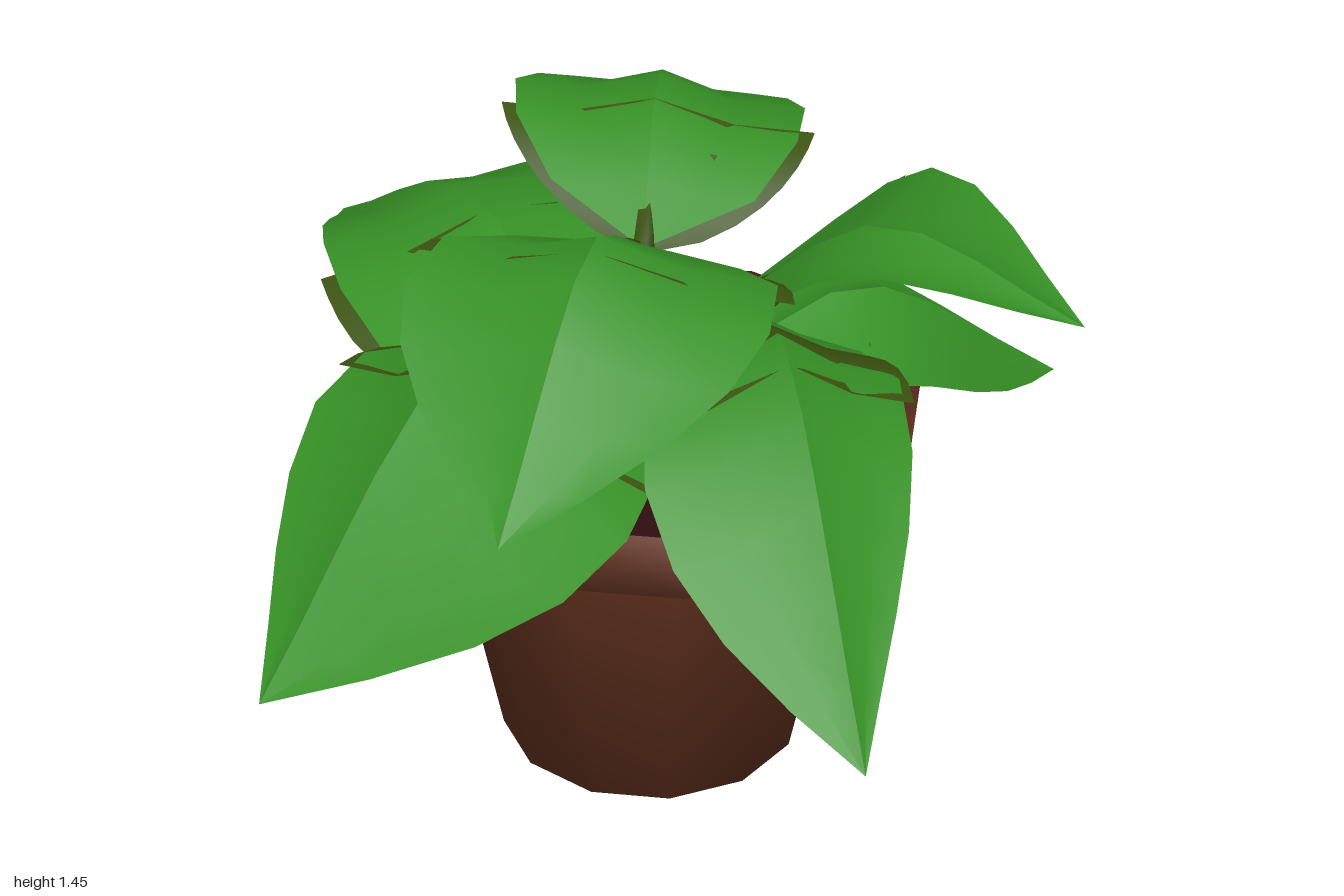
import * as THREE from 'three';

const POT_X = -0.01, POT_Z = -0.125, SIDES = 12;
const PHI = THREE.MathUtils.degToRad(19.5);

// Midrib through base, peak and tip; each half (seen looking outward) has
// its greatest width, where along the leaf that falls, and the margin's drop below the rib
const LEAVES = [
  { name: 'backLeaf', base: [-0.01, 1.24, -0.04], peak: [-0.05, 1.46, -0.34], tip: [-0.15, 1.165, -1],
    left: [0.31, 0.4, 0.02], right: [0.32, 0.38, 0.07] },
  { name: 'backRightLeaf', base: [-0.15, 1.0, 0.02], peak: [-0.45, 1.18, -0.32], tip: [-0.93, 0.81, -0.87],
    left: [0.38, 0.24, 0.07], right: [0.41, 0.5, 0.01] },
  { name: 'frontRightLeaf', base: [-0.15, 1.08, 0.1], peak: [-0.3, 1.19, 0.45], tip: [-0.56, 0.68, 0.95],
    left: [0.53, 0.42, 0.11], right: [0.29, 0.34, 0.1] },
  { name: 'frontLeaf', base: [-0.02, 1.28, 0.01], peak: [-0.04, 1.42, 0.3], tip: [-0.1, 1.03, 0.83],
    left: [0.4, 0.4, 0.05], right: [0.36, 0.42, 0.06] },
  { name: 'frontLeftLeaf', base: [0.24, 1.18, 0.1], peak: [0.37, 1.31, 0.4], tip: [0.65, 0.73, 0.99],
    left: [0.24, 0.3, 0.12], right: [0.31, 0.43, 0.13] },
  { name: 'leftLeaf', base: [0.17, 1.13, -0.06], peak: [0.5, 1.38, 0.01], tip: [0.93, 1.26, 0.13],
    left: [0.38, 0.3, 0.03], right: [0.24, 0.32, 0.02] },
  { name: 'backLeftLeaf', base: [0.15, 0.92, -0.2], peak: [0.4, 1.02, -0.38], tip: [0.81, 0.72, -0.63],
    left: [0.23, 0.42, 0.05], right: [0.28, 0.42, 0.1] },
];

const toCurve = (points) => new THREE.CatmullRomCurve3(points.map((p) => new THREE.Vector3(...p)));

// Rounded at the base, widest at the given place, pointed at the tip
const outline = (t, widest) => Math.sin(Math.PI * t ** (Math.log(0.5) / Math.log(widest)));

// Blade lofted over two halves that meet in a sharp midrib; reach is how far
// it runs to the tip, spread scales its width and sink lowers it
function leafGeometry({ base, peak, tip, left, right }, reach, spread, sink) {
  const rib = toCurve([base, peak, tip]);
  const across = new THREE.Vector3(tip[2] - base[2], 0, base[0] - tip[0]).normalize();
  const rows = 7, cols = 6, positions = [], index = [];
  for (let i = 0; i <= rows; i++) {
    const t = (i / rows) * reach;
    const middle = rib.getPointAt(t);
    middle.y -= sink;
    const margin = ([width, widest, drop], sign) => {
      const shape = outline(t, widest);
      const p = middle.clone().addScaledVector(across, sign * width * spread * shape);
      p.y -= drop * shape;
      return p;
    };
    const half = (edge) => {
      const p = edge.clone().lerp(middle, 0.5);
      p.y -= 0.025 * Math.sin(Math.PI * t);
      return p;
    };
    const a = margin(left, 1), b = margin(right, -1);
    for (const p of [a, half(a), middle, middle, half(b), b]) positions.push(p.x, p.y, p.z);
  }
  for (let i = 0; i < rows; i++) {
    for (const j of [0, 1, 3, 4]) {
      const k = i * cols + j;
      if (i > 0) index.push(k, k + 1, k + cols);
      if (i < rows - 1 || reach < 1) index.push(k + 1, k + cols + 1, k + cols);
    }
  }
  const geometry = new THREE.BufferGeometry();
  geometry.setAttribute('position', new THREE.Float32BufferAttribute(positions, 3));
  geometry.setIndex(index);
  geometry.computeVertexNormals();
  return geometry;
}

// Stalk rising from the soil and running a little way under the midrib
function stemGeometry({ base, peak }) {
  const [x, y, z] = base;
  const foot = [x * 0.45, 0.76, z * 0.4 - 0.06];
  const bend = [x * 0.65, (0.76 + y) / 2, z * 0.6 - 0.04];
  const neck = [x, y - 0.02, z];
  const end = base.map((v, i) => v + (peak[i] - v) * 0.4 - (i === 1 ? 0.02 : 0));
  return new THREE.TubeGeometry(toCurve([foot, bend, neck, end]), 10, 0.024, 6);
}

// Turned shape from [radius, height] points
const turned = (points) =>
  new THREE.LatheGeometry(points.map(([r, y]) => new THREE.Vector2(r, y)), SIDES, PHI);

export function createModel() {
  const material = (name, color, side = THREE.FrontSide) => {
    const m = new THREE.MeshStandardMaterial({ color, side });
    m.name = name;
    return m;
  };
  const terracotta = material('terracotta', 0x6b3623);
  const earth = material('earth', 0x2e0e10);
  const leafGreen = material('leafGreen', 0x369025, THREE.DoubleSide);
  const stemGreen = material('stemGreen', 0x3a520f, THREE.DoubleSide);

  const model = new THREE.Group();
  model.name = 'pottedPlant';
  const add = (name, geometry, mat) => {
    const mesh = new THREE.Mesh(geometry, mat);
    mesh.name = name;
    model.add(mesh);
    return mesh;
  };

  // Tapered pot with a flared rim whose lip slopes inward to the soil
  const pot = add('pot', turned([
    [0, 0], [0.338, 0], [0.465, 0.64], [0.57, 0.685], [0.594, 0.845], [0.52, 0.79],
  ]), terracotta);
  pot.position.set(POT_X, 0, POT_Z);

  // Soil, gently mounded
  const soil = add('soil', turned([[0.54, 0.795], [0.3, 0.805], [0, 0.81]]), earth);
  soil.position.set(POT_X, 0, POT_Z);

  // Leaves with their stems and the olive underside around each leaf base
  for (const leaf of LEAVES) {
    add(leaf.name, leafGeometry(leaf, 1, 1, 0), leafGreen);
    add(leaf.name + 'Underside', leafGeometry(leaf, 0.33, 1.08, 0.012), stemGreen);
    add(leaf.name + 'Stem', stemGeometry(leaf), stemGreen);
  }
  return model;
}
